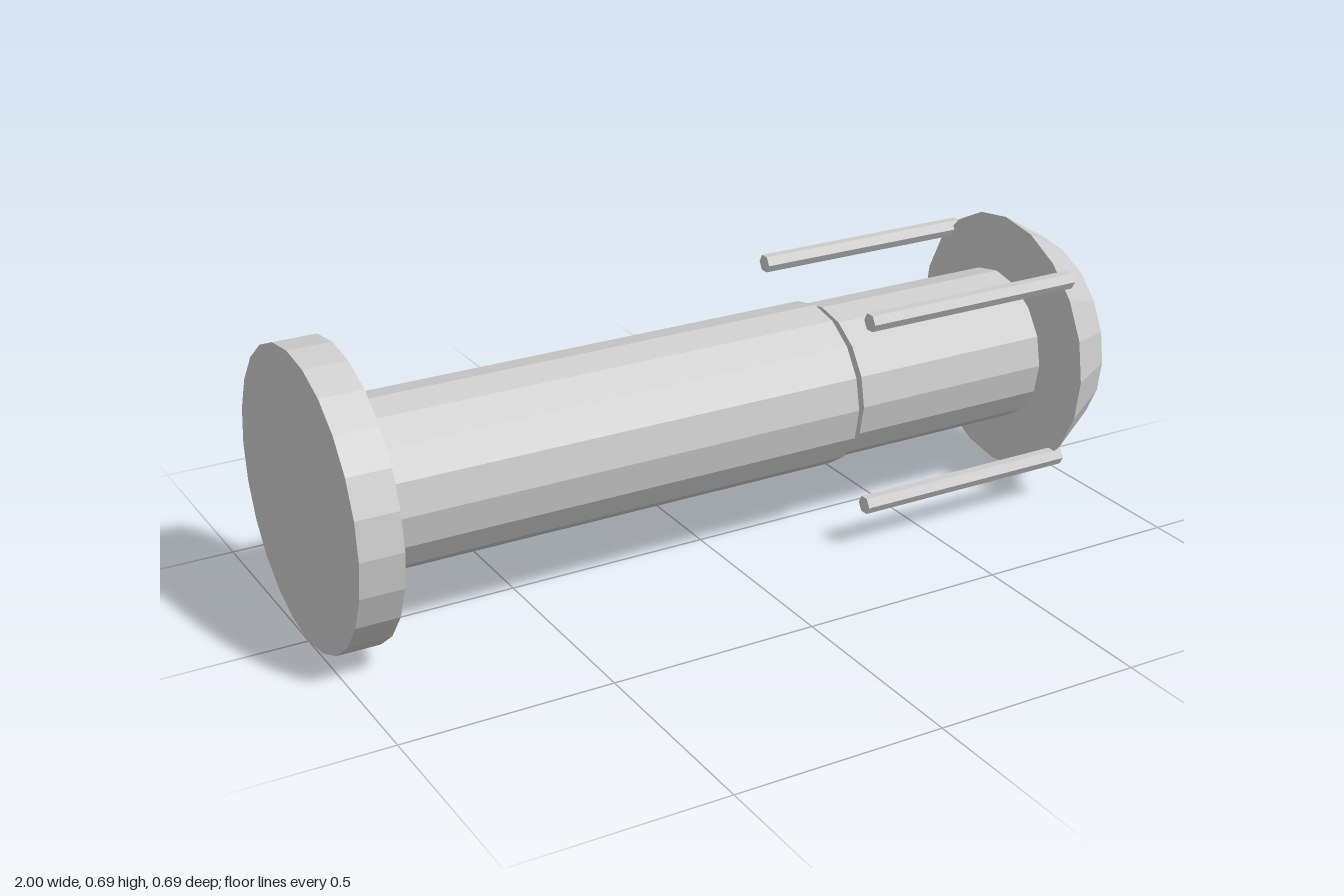
import * as THREE from 'three';

const AXIS_Y = 0.346;

export function createModel() {
  const model = new THREE.Group();
  const grey = new THREE.MeshStandardMaterial({ color: 0xcccccc, flatShading: true });
  grey.name = 'light grey';

  // Faceted round part lying along x, from x0 (radius r0) to x1 (radius r1)
  function addRound(name, x0, x1, r0, r1, sides, y = AXIS_Y, z = 0) {
    const geometry = new THREE.CylinderGeometry(r1, r0, x1 - x0, sides);
    geometry.rotateZ(-Math.PI / 2);
    const mesh = new THREE.Mesh(geometry, grey);
    mesh.name = name;
    mesh.position.set((x0 + x1) / 2, y, z);
    model.add(mesh);
  }

  // Base flange, long body, separate neck and tapered end cap
  addRound('flange', -1, -0.898, 0.346, 0.346, 24);
  addRound('body', -0.898, 0.315, 0.2, 0.2, 16);
  addRound('neck', 0.335, 0.852, 0.19, 0.19, 16);
  addRound('endCap', 0.872, 1, 0.327, 0.25, 20);

  // Four hexagonal rods around the neck
  for (const sy of [-1, 1]) {
    for (const sz of [-1, 1]) {
      const name = (sy > 0 ? 'upper' : 'lower') + (sz > 0 ? 'Front' : 'Back') + 'Rod';
      addRound(name, 0.315, 0.893, 0.0225, 0.0225, 6, AXIS_Y + sy * 0.232, sz * 0.232);
    }
  }
  return model;
}
